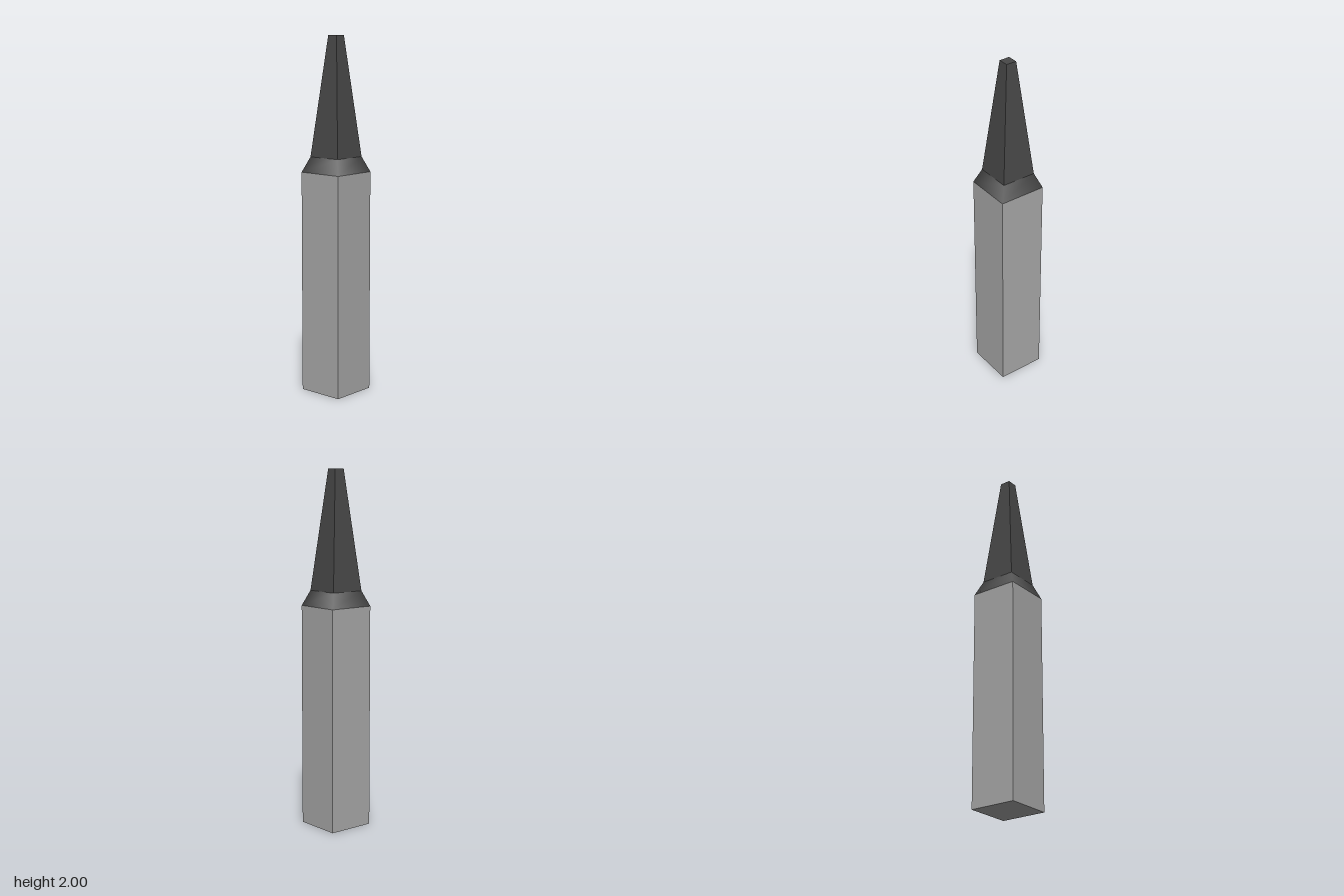
import * as THREE from 'three';

const shaftGrey = new THREE.MeshStandardMaterial({ color: 0xa9a9a9 });
shaftGrey.name = 'shaftGrey';
const darkTip = new THREE.MeshStandardMaterial({ color: 0x484848 });
darkTip.name = 'darkTip';

// Square frustum given by half-widths and heights; faceted or smooth around the corners
function frustum(name, topHalf, bottomHalf, y0, y1, material, { open = false, smooth = false } = {}) {
  let geometry = new THREE.CylinderGeometry(topHalf * Math.SQRT2, bottomHalf * Math.SQRT2, y1 - y0, 4, 1, open);
  geometry.rotateY(Math.PI / 4);
  geometry.translate(0, (y0 + y1) / 2, 0);
  if (!smooth) {
    geometry = geometry.toNonIndexed();
    geometry.computeVertexNormals();
  }
  const mesh = new THREE.Mesh(geometry, material);
  mesh.name = name;
  return mesh;
}

export function createModel() {
  const model = new THREE.Group();
  model.name = 'squarePost';
  model.add(
    // Straight square shaft
    frustum('shaft', 0.135, 0.135, 0, 1.25, shaftGrey),
    // Sloping collar, softly shaded around its corners
    frustum('collar', 0.1, 0.135, 1.25, 1.335, darkTip, { open: true, smooth: true }),
    // Long tapering spike with a small flat end
    frustum('spike', 0.03, 0.1, 1.335, 2, darkTip),
  );
  return model;
}
